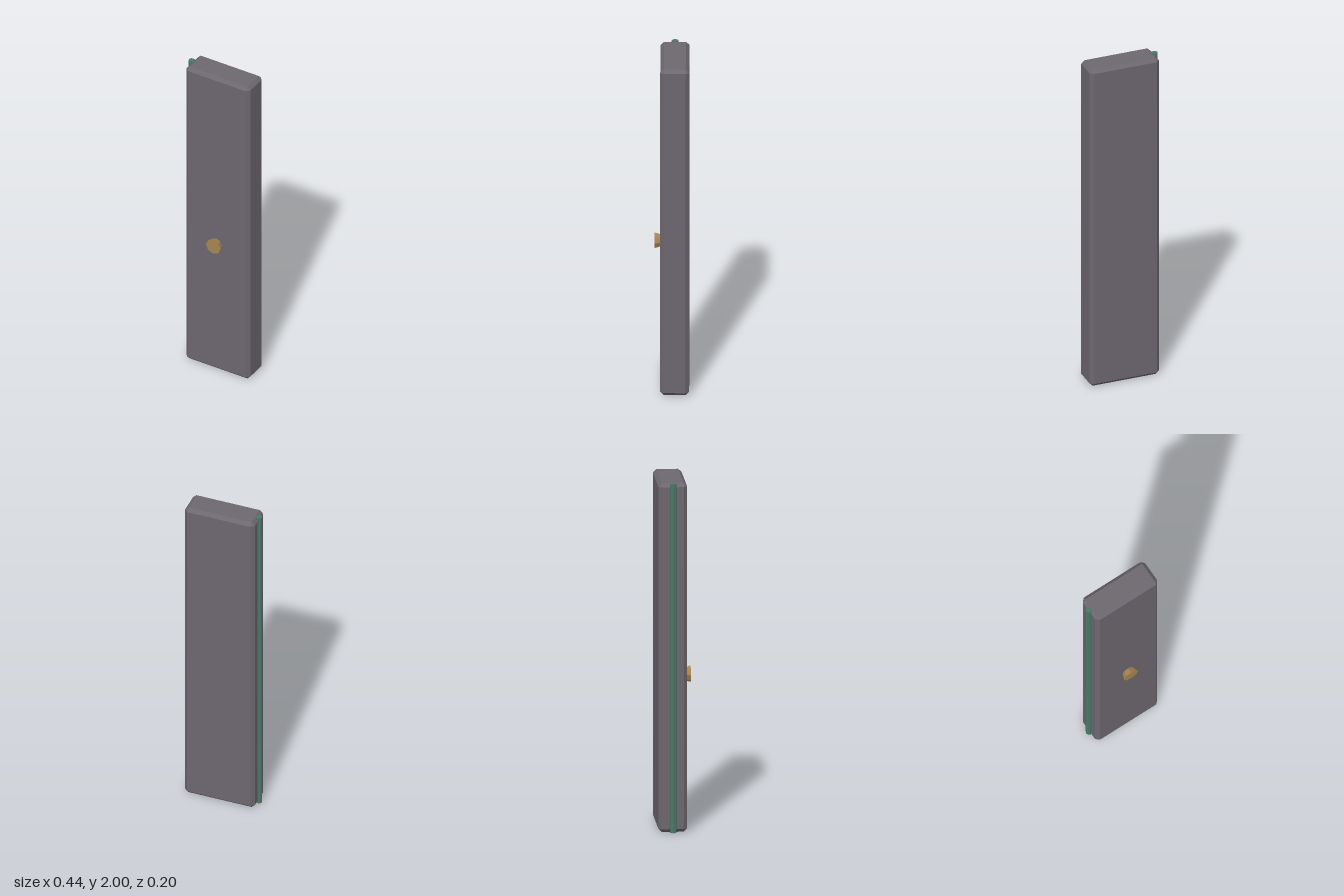
import * as THREE from 'three';
import { ConvexGeometry } from 'three/addons/geometries/ConvexGeometry.js';

// Box with all edges cut at 45 degrees and triangular corners
function chamferedBox(w, h, d, c) {
  const points = [];
  for (const sx of [-1, 1]) for (const sy of [-1, 1]) for (const sz of [-1, 1]) {
    const x = w / 2, y = h / 2, z = d / 2;
    points.push(
      new THREE.Vector3(sx * x, sy * (y - c), sz * (z - c)),
      new THREE.Vector3(sx * (x - c), sy * y, sz * (z - c)),
      new THREE.Vector3(sx * (x - c), sy * (y - c), sz * z)
    );
  }
  return new ConvexGeometry(points);
}

function material(name, color) {
  const m = new THREE.MeshStandardMaterial({ color, flatShading: true });
  m.name = name;
  return m;
}

export function createModel() {
  const model = new THREE.Group();
  model.name = 'cabinetDoor';

  const add = (name, geometry, mat, x, y, z) => {
    const mesh = new THREE.Mesh(geometry, mat);
    mesh.name = name;
    mesh.position.set(x, y, z);
    model.add(mesh);
    return mesh;
  };

  // Door panel
  add('doorPanel', chamferedBox(0.42, 2, 0.162, 0.0195),
    material('greyPanel', 0x6d676f), 0.009, 1, -0.0185);

  // Full-height hinge pin on the right edge
  add('hingePin', new THREE.CylinderGeometry(0.0185, 0.0185, 2, 8),
    material('greenHinge', 0x4b7866), -0.2015, 1, -0.0175);

  // Knob flaring outwards from the front face
  const knob = add('knob', new THREE.CylinderGeometry(0.0475, 0.035, 0.036, 8),
    material('brassKnob', 0xa78650), 0.0085, 0.865, 0.0785);
  knob.rotation.x = Math.PI / 2;

  return model;
}
